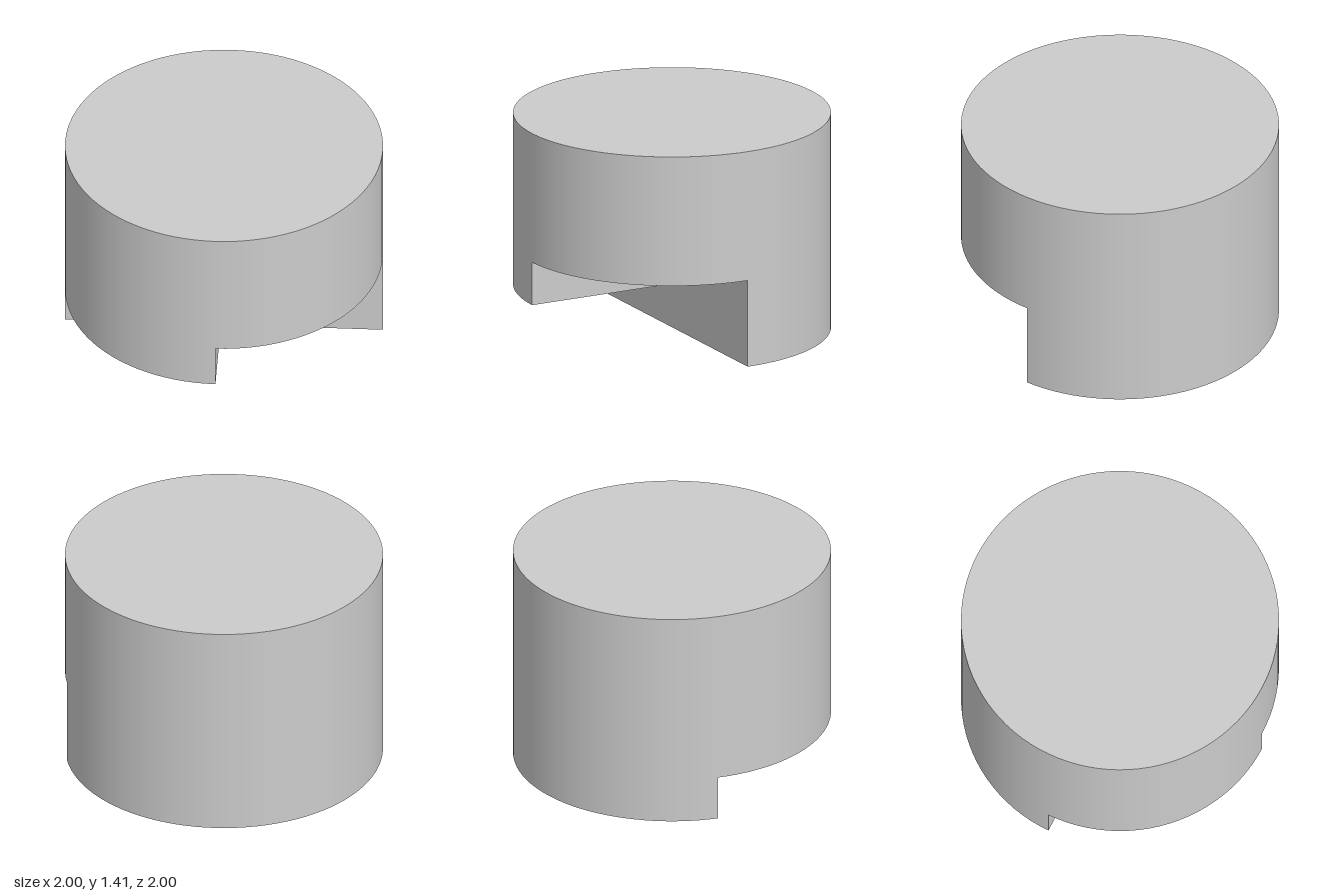
import * as THREE from 'three';

const RADIUS = 1, TOP = 1.41, HIGH = 0.565, LOW = 0.285;
const SEGMENTS = 96;

export function createModel() {
  const group = new THREE.Group();
  const material = new THREE.MeshStandardMaterial({ color: 0xcccccc });

  const add = (name, geometry) => {
    const mesh = new THREE.Mesh(geometry, material);
    mesh.name = name;
    group.add(mesh);
    return mesh;
  };

  // Curved wall and underside of one sector; angles run from +z towards +x
  const addSector = (name, bottom, start, length) => {
    const n = Math.round(SEGMENTS * length / (2 * Math.PI));
    add(name + 'Wall', new THREE.CylinderGeometry(RADIUS, RADIUS, TOP - bottom, n, 1, true, start, length))
      .position.y = (TOP + bottom) / 2;
    add(name + 'Underside', new THREE.CircleGeometry(RADIUS, n, Math.PI / 2 - start - length, length).rotateX(Math.PI / 2))
      .position.y = bottom;
  };
  addSector('highQuarter', HIGH, 0, Math.PI / 2);
  addSector('backHalf', 0, Math.PI / 2, Math.PI);
  addSector('lowQuarter', LOW, Math.PI * 1.5, Math.PI / 2);

  // Flat top disc
  add('topFace', new THREE.CircleGeometry(RADIUS, SEGMENTS).rotateX(-Math.PI / 2)).position.y = TOP;

  // Upright faces of the steps
  add('backStepLeft', new THREE.PlaneGeometry(RADIUS, HIGH)).position.set(RADIUS / 2, HIGH / 2, 0);
  add('backStepRight', new THREE.PlaneGeometry(RADIUS, LOW)).position.set(-RADIUS / 2, LOW / 2, 0);
  add('middleStep', new THREE.PlaneGeometry(RADIUS, HIGH - LOW).rotateY(Math.PI / 2))
    .position.set(0, (HIGH + LOW) / 2, RADIUS / 2);

  return group;
}
